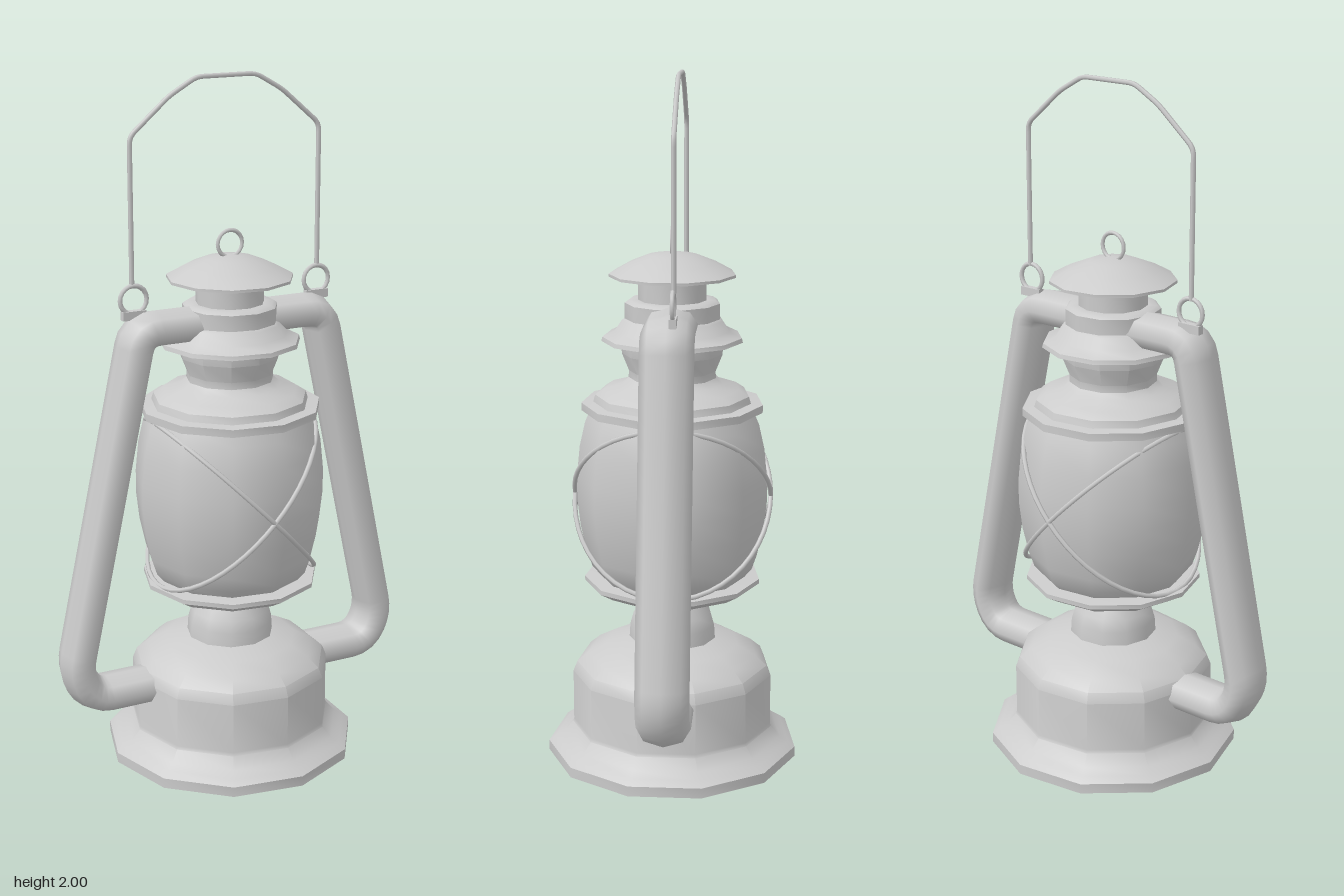
import * as THREE from 'three';
import { toCreasedNormals } from 'three/addons/utils/BufferGeometryUtils.js';

const SIDES = 11;

export function createModel() {
  const lantern = new THREE.Group();
  lantern.name = 'lantern';
  const material = new THREE.MeshStandardMaterial({ color: 0xcccccc, side: THREE.DoubleSide });

  const add = (name, geometry, x = 0, y = 0, z = 0) => {
    const mesh = new THREE.Mesh(geometry, material);
    mesh.name = name;
    mesh.position.set(x, y, z);
    lantern.add(mesh);
    return mesh;
  };

  // Turned part from [radius, height] pairs, with one corner on the -x axis
  const turned = (name, profile) => {
    const points = profile.map(([r, y]) => new THREE.Vector2(r, y));
    add(name, toCreasedNormals(new THREE.LatheGeometry(points, SIDES, -Math.PI / 2), 0.65));
  };

  // Straight runs joined by rounded corners, in the xy plane
  const roundedPath = (pairs, radius) => {
    const pts = pairs.map(([x, y]) => new THREE.Vector3(x, y, 0));
    const path = new THREE.CurvePath();
    let from = pts[0];
    for (let i = 1; i < pts.length - 1; i++) {
      const toward = (p) => pts[i].clone().add(p.clone().sub(pts[i]).setLength(radius));
      const a = toward(pts[i - 1]);
      const b = toward(pts[i + 1]);
      path.add(new THREE.LineCurve3(from, a));
      path.add(new THREE.QuadraticBezierCurve3(a, pts[i], b));
      from = b;
    }
    path.add(new THREE.LineCurve3(from, pts[pts.length - 1]));
    return path;
  };

  // Fuel tank with its stepped foot
  turned('fuelTank', [
    [0, 0], [0.37, 0], [0.37, 0.03], [0.35, 0.045], [0.325, 0.06], [0.298, 0.09],
    [0.295, 0.1], [0.295, 0.25], [0.283, 0.28], [0.25, 0.308], [0.195, 0.338], [0.128, 0.355],
  ]);
  turned('burnerNeck', [
    [0.128, 0.35], [0.125, 0.395], [0.115, 0.43], [0.092, 0.465], [0.085, 0.48], [0.085, 0.51],
  ]);
  turned('burnerPlate', [
    [0.08, 0.5], [0.17, 0.497], [0.215, 0.508], [0.257, 0.533], [0.257, 0.546], [0.2, 0.55], [0, 0.55],
  ]);

  // Glass globe and the crossed wire guard around it
  turned('globe', [
    [0.205, 0.54], [0.235, 0.575], [0.25, 0.62], [0.268, 0.7], [0.277, 0.78],
    [0.277, 0.85], [0.268, 0.94], [0.252, 1.01], [0.235, 1.05],
  ]);
  for (const side of [-1, 1]) {
    const loop = [];
    for (let i = 0; i < 24; i++) {
      const a = (i / 24) * Math.PI * 2;
      loop.push(new THREE.Vector3(0.235 * Math.cos(a), 0.79 + side * 0.245 * Math.cos(a), 0.285 * Math.sin(a)));
    }
    add('guardWire', new THREE.TubeGeometry(new THREE.CatmullRomCurve3(loop, true), 48, 0.007, 6, true));
  }

  // Hood, chimney and rain cap
  turned('hood', [
    [0, 1.045], [0.262, 1.045], [0.262, 1.067], [0.228, 1.07], [0.222, 1.09], [0.195, 1.108],
    [0.145, 1.123], [0.126, 1.14], [0.125, 1.16], [0.145, 1.21], [0.146, 1.25],
  ]);
  turned('chimneyFlange', [
    [0.14, 1.246], [0.203, 1.246], [0.2, 1.258], [0.165, 1.275], [0.145, 1.305],
    [0.136, 1.31], [0.136, 1.355], [0.125, 1.363], [0.098, 1.363],
  ]);
  turned('chimney', [[0.098, 1.35], [0.098, 1.445]]);
  turned('cap', [
    [0, 1.445], [0.09, 1.435], [0.181, 1.43], [0.181, 1.438], [0.13, 1.466], [0.07, 1.49], [0, 1.5],
  ]);
  add('capRing', new THREE.TorusGeometry(0.038, 0.006, 6, 20), 0, 1.53, 0);

  // Side air tubes with an oval section, and the eyelets for the bail
  for (const side of [-1, 1]) {
    const path = roundedPath(
      [[0.09, 1.312], [0.285, 1.312], [0.497, 0.325], [0.45, 0.237], [0.24, 0.237]]
        .map(([x, y]) => [side * x, y]), 0.05);
    const tube = new THREE.TubeGeometry(path, 64, 0.051, 8, false);
    tube.scale(1, 1, 1.47);
    add('airTube', tube, 0, 0, -0.003);
    add('eyelet', new THREE.TorusGeometry(0.04, 0.007, 6, 20), side * 0.287, 1.395, -0.02);
    add('eyeletTab', new THREE.BoxGeometry(0.07, 0.025, 0.02), side * 0.287, 1.352, -0.02);
  }

  // Wire carrying bail
  const bail = roundedPath([
    [-0.29, 1.43], [-0.29, 1.843], [-0.172, 1.945], [-0.09, 1.992],
    [0.09, 1.992], [0.172, 1.945], [0.29, 1.843], [0.29, 1.43],
  ], 0.02);
  add('bail', new THREE.TubeGeometry(bail, 120, 0.007, 6, false), 0, 0, -0.022);

  return lantern;
}
